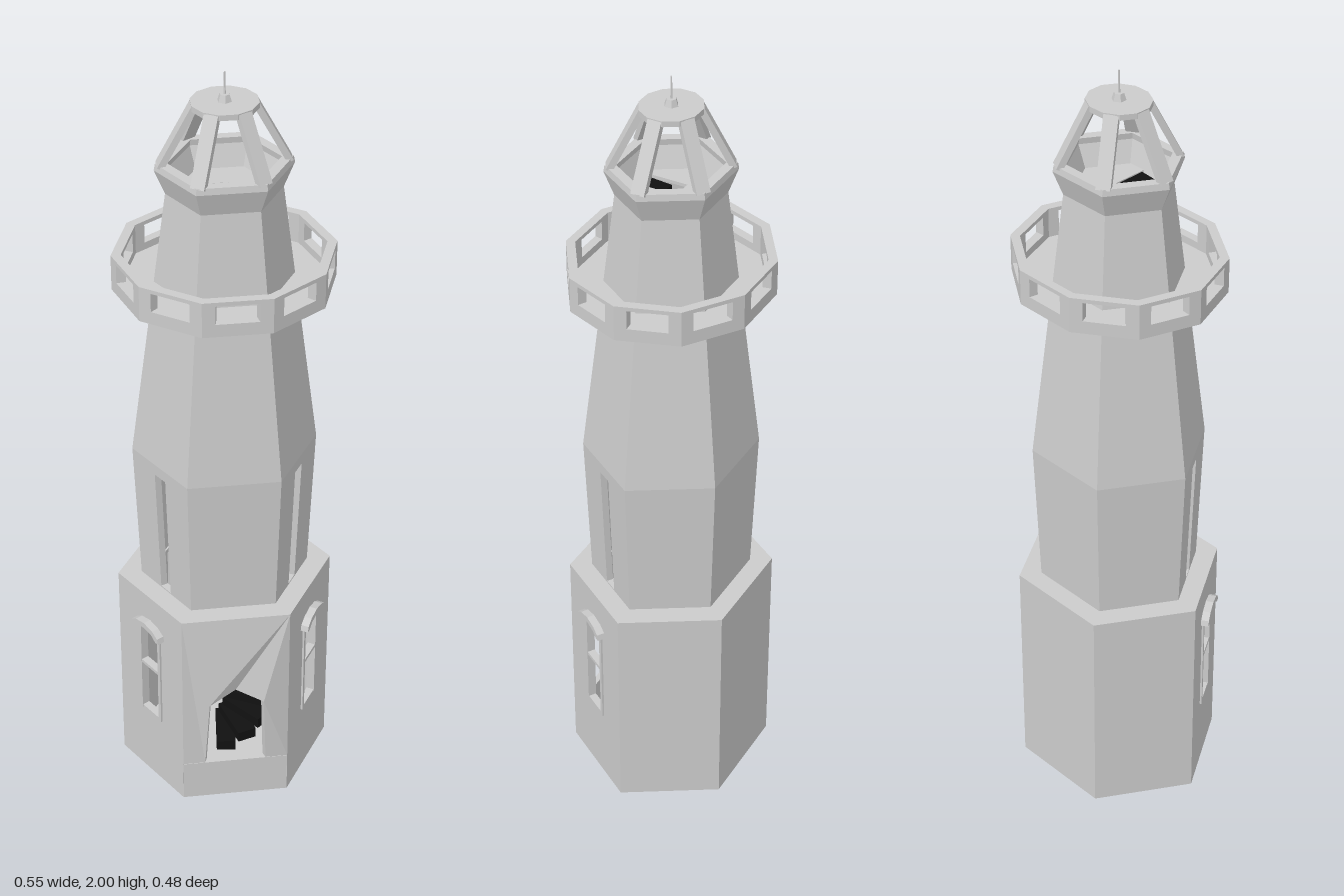
import * as THREE from 'three';

const SQUASH = 0.932; // plan is slightly shallower than wide
const grey = new THREE.MeshStandardMaterial({ color: 0xcccccc, flatShading: true, side: THREE.DoubleSide });
const dark = new THREE.MeshStandardMaterial({ color: 0x111111, flatShading: true });

function add(parent, name, geo, mat = grey) {
  const m = new THREE.Mesh(geo, mat);
  m.name = name;
  parent.add(m);
  return m;
}
const path = (pts) => pts.map(([x, y]) => new THREE.Vector2(x, y));
const rect = (x0, y0, x1, y1) => [[x0, y0], [x1, y0], [x1, y1], [x0, y1]];
const polygon = (n, r) => Array.from({ length: n }, (_, i) => {
  const a = ((i + 0.5) / n) * Math.PI * 2;
  return [r * Math.sin(a), r * Math.cos(a) * SQUASH];
});
function slab(outline, holes, depth) {
  const s = new THREE.Shape(path(outline));
  holes.forEach((h) => s.holes.push(new THREE.Path(path(h))));
  return new THREE.ExtrudeGeometry(s, { depth, bevelEnabled: false });
}

// One thick wall side of an n-sided tower; outline and holes use u -0.5..0.5 and v 0..1
function wallSide(n, k, [r0, y0], [r1, y1], t, holes = [], outline = rect(-0.5, 0, 0.5, 1)) {
  const g = slab(outline, holes, t), p = g.attributes.position;
  const corner = (i) => {
    const a = ((k + i) / n) * Math.PI * 2;
    return [Math.sin(a), Math.cos(a) * SQUASH];
  };
  const A = corner(-0.5), B = corner(0.5);
  for (let i = 0; i < p.count; i++) {
    const u = p.getX(i) + 0.5, v = p.getY(i);
    const r = r0 + (r1 - r0) * v - t + p.getZ(i);
    p.setXYZ(i, r * (A[0] + (B[0] - A[0]) * u), y0 + (y1 - y0) * v, r * (A[1] + (B[1] - A[1]) * u));
  }
  g.computeVertexNormals();
  return g;
}
function wallRing(parent, name, n, lower, upper, t, holesFor = () => [], skip = -1) {
  for (let k = 0; k < n; k++) {
    if (k !== skip) add(parent, name, wallSide(n, k, lower, upper, t, holesFor(k)));
  }
}
function plate(parent, name, outline, holes, y, h) {
  const m = add(parent, name, slab(outline, holes, h));
  m.rotation.x = -Math.PI / 2;
  m.position.y = y;
}
function box(parent, name, w, h, d, x, y, z) {
  add(parent, name, new THREE.BoxGeometry(w, h, d)).position.set(x, y, z);
}

export function createModel() {
  const model = new THREE.Group();
  const tower = new THREE.Group();
  tower.name = 'lighthouse';
  tower.position.z = -0.003;
  model.add(tower);

  // Hexagonal base with windows in the two front diagonal sides
  const R = 0.275, frontSides = [1, 5];
  wallRing(tower, 'baseWall', 6, [R, 0], [R, 0.6], 0.02,
    (k) => (frontSides.includes(k) ? [rect(-0.16, 0.35, 0.16, 0.83)] : []), 0);
  plate(tower, 'baseFloor', polygon(6, R - 0.002), [], 0, 0.01);
  plate(tower, 'baseLedge', polygon(6, R - 0.002), [polygon(6, 0.19)], 0.588, 0.012);

  // Front wall: door opening with shoulders that bulge forward
  const door = [[-0.5, 0], [-0.29, 0], [-0.255, 0.448], [0, 0.51], [0.255, 0.448], [0.29, 0], [0.5, 0], [0.5, 1], [-0.5, 1]];
  const front = wallSide(6, 0, [R, 0.12], [R, 0.6], 0.02, [], door);
  const p = front.attributes.position;
  for (let i = 0; i < p.count; i++) {
    if (Math.abs(p.getY(i) - 0.335) < 0.005) p.setZ(i, p.getZ(i) + 0.022);
  }
  front.computeVertexNormals();
  add(tower, 'doorWall', front);
  add(tower, 'doorStep', wallSide(6, 0, [R - 0.001, 0], [R - 0.001, 0.118], 0.02));

  // Window frames with arched hoods
  for (const s of [1, -1]) {
    const w = new THREE.Group();
    w.name = s > 0 ? 'leftWindow' : 'rightWindow';
    w.position.set(s * R * 0.75, 0, R * 0.433 * SQUASH);
    w.rotation.y = s * Math.atan2(0.222, 0.1375);
    tower.add(w);
    for (const e of [1, -1]) box(w, 'windowJamb', 0.01, 0.29, 0.022, e * 0.039, 0.355, -0.006);
    for (const y of [0.213, 0.37, 0.497]) box(w, 'windowBar', 0.086, 0.009, 0.02, 0, y, -0.006);
    const hood = [[-0.058, 0.492], [-0.046, 0.492], [-0.03, 0.505], [0, 0.511], [0.03, 0.505], [0.046, 0.492],
      [0.058, 0.492], [0.054, 0.507], [0.034, 0.52], [0, 0.527], [-0.034, 0.52], [-0.054, 0.507]];
    add(w, 'windowHood', slab(hood, [], 0.024)).position.z = -0.004;
  }

  // Shaft: widening lower part with tall slots, then the long taper
  wallRing(tower, 'lowerShaft', 6, [0.215, 0.6], [0.23, 0.99], 0.02,
    (k) => (frontSides.includes(k) ? [rect(-0.095, 0.01, 0.095, 0.92)] : []));
  wallRing(tower, 'upperShaft', 6, [0.23, 0.99], [0.138, 1.7], 0.02);

  // Ten-sided gallery with an opening in each side
  wallRing(tower, 'galleryParapet', 10, [0.268, 1.453], [0.268, 1.545], 0.024,
    () => [rect(-0.31, 0.36, 0.31, 0.89)]);
  plate(tower, 'galleryFloor', polygon(10, 0.267), [polygon(6, 0.15)], 1.453, 0.014);

  // Flared lantern room with a stair opening in its floor
  wallRing(tower, 'lanternFlare', 6, [0.138, 1.7], [0.163, 1.762], 0.028);
  wallRing(tower, 'lanternRim', 6, [0.163, 1.762], [0.16, 1.778], 0.028);
  plate(tower, 'lanternFloor', polygon(6, 0.13), [rect(-0.04, -0.098, 0.012, 0.02)], 1.7, 0.008);

  // Six sloping struts carrying the roof disc
  for (let k = 0; k < 6; k++) {
    const a = ((k + 0.5) / 6) * Math.PI * 2;
    const at = (r, y) => new THREE.Vector3(r * Math.sin(a), y, r * Math.cos(a) * SQUASH);
    const lo = at(0.15, 1.772), hi = at(0.07, 1.922);
    const strut = add(tower, 'roofStrut', new THREE.BoxGeometry(0.035, 0.016, lo.distanceTo(hi)));
    strut.position.copy(lo).add(hi).multiplyScalar(0.5);
    strut.lookAt(hi.clone().add(tower.position));
  }
  plate(tower, 'roofDisc', polygon(12, 0.08), [], 1.914, 0.014);
  add(tower, 'roofKnob', new THREE.CylinderGeometry(0.012, 0.018, 0.018, 6)).position.y = 1.936;
  add(tower, 'roofSpike', new THREE.CylinderGeometry(0.002, 0.003, 0.06, 6)).position.y = 1.97;

  // Dark spiral stair inside the tower
  const steps = 64;
  for (let i = 0; i < steps; i++) {
    const f = i / (steps - 1), len = 0.13 - 0.06 * f;
    const turn = new THREE.Group();
    turn.name = 'stairStep';
    turn.position.y = 0.1 + 1.59 * f;
    turn.rotation.y = -(1 - f) * Math.PI * 8 - 0.1;
    add(turn, 'tread', new THREE.BoxGeometry(0.05, 0.03, len), dark).position.z = 0.015 + len / 2;
    tower.add(turn);
  }
  return model;
}
